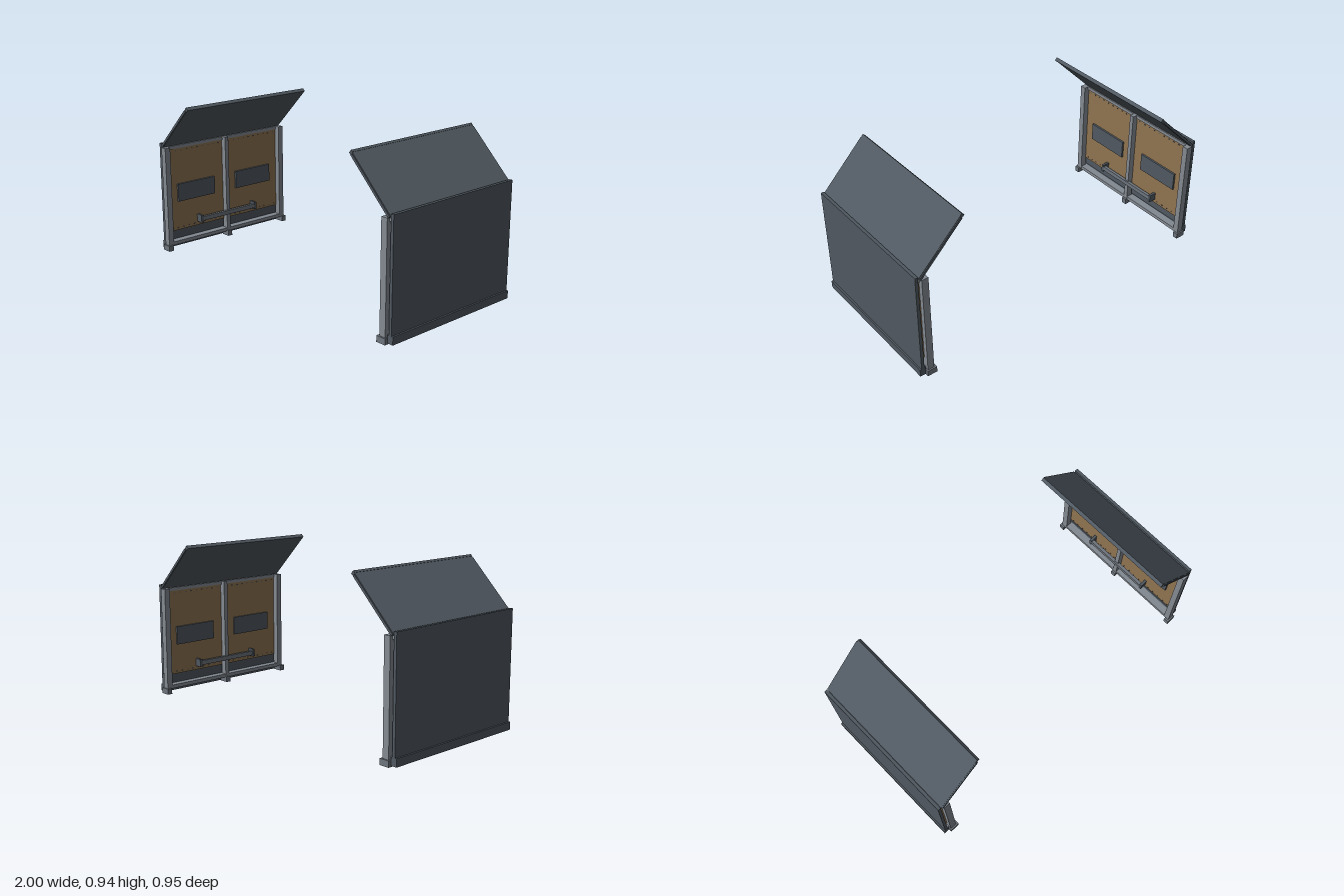
import * as THREE from 'three';

const mat = (name, color) => {
  const m = new THREE.MeshStandardMaterial({ color });
  m.name = name;
  return m;
};

export function createModel() {
  const slate = mat('slate panel', 0x4f5860);
  const steel = mat('steel frame', 0x828991);
  const footGrey = mat('foot grey', 0x6d747c);
  const wood = mat('wood lining', 0x8f7350);

  // Box given by its lower and upper limits on each axis
  const box = (parent, name, m, [x0, x1], [y0, y1], [z0, z1]) => {
    const mesh = new THREE.Mesh(new THREE.BoxGeometry(x1 - x0, y1 - y0, z1 - z0), m);
    mesh.position.set((x0 + x1) / 2, (y0 + y1) / 2, (z0 + z1) / 2);
    mesh.name = name;
    parent.add(mesh);
    return mesh;
  };

  // One wall, standing on the +x side
  const makeWall = (name) => {
    const wall = new THREE.Group();
    wall.name = name;

    // Outer skin and base rails
    box(wall, 'outerPanel', slate, [0.972, 0.99], [0.02, 0.68], [-0.457, 0.457]);
    box(wall, 'baseRail', slate, [0.963, 1.0], [0.005, 0.05], [-0.457, 0.457]);
    box(wall, 'innerSill', steel, [0.918, 0.963], [0.03, 0.052], [-0.45, 0.45]);
    box(wall, 'topRail', steel, [0.945, 0.972], [0.638, 0.658], [-0.45, 0.45]);

    // Posts and feet
    for (const z of [-0.449, 0, 0.449]) {
      const w = z === 0 ? 0.013 : 0.018;
      box(wall, 'post', steel, [0.917, 0.957], [0.035, 0.658], [z - w, z + w]);
      const c = Math.sign(z) * 0.46;
      box(wall, 'foot', footGrey, [0.905, 0.965], [0, 0.035], [c - 0.016, c + 0.016]);
    }

    // Lining, shutters and rivets, once per bay
    for (const s of [-1, 1]) {
      const span = (a, b) => (s > 0 ? [a, b] : [-b, -a]);
      box(wall, 'lining', wood, [0.953, 0.966], [0.11, 0.64], span(0.013, 0.44));
      box(wall, 'shutter', slate, [0.941, 0.954], [0.297, 0.41], span(0.085, 0.367));
      for (const y of [0.125, 0.622]) {
        for (let i = 0; i < 10; i++) {
          const z = s * (0.04 + i * 0.041);
          box(wall, 'rivet', slate, [0.951, 0.954], [y - 0.003, y + 0.003], [z - 0.004, z + 0.004]);
        }
      }
    }

    // Grab rail with end brackets
    box(wall, 'grabRail', footGrey, [0.908, 0.928], [0.145, 0.172], [-0.21, 0.21]);
    for (const z of [-0.215, 0.215]) {
      box(wall, 'railBracket', slate, [0.906, 0.954], [0.135, 0.183], [z - 0.008, z + 0.008]);
    }

    // Raised canopy, hinged at the wall top and leaning inwards
    const canopy = new THREE.Group();
    canopy.name = 'canopy';
    canopy.position.set(0.963, 0.661, 0);
    canopy.rotation.z = -Math.PI / 4;
    const length = 0.385;
    box(canopy, 'canopyPanel', slate, [-length, 0], [-0.009, 0.009], [-0.457, 0.457]);
    for (const s of [-1, 1]) {
      box(canopy, 'canopyEdge', slate, [-length + 0.015, 0], [-0.007, 0.007],
        s > 0 ? [0.457, 0.463] : [-0.463, -0.457]);
    }
    box(canopy, 'canopyLip', slate, [-length - 0.005, -length + 0.008], [-0.011, 0.011], [-0.457, 0.457]);
    wall.add(canopy);
    return wall;
  };

  const model = new THREE.Group();
  model.name = 'foldingWalls';
  const left = makeWall('leftWall');
  const right = makeWall('rightWall');
  right.rotation.y = Math.PI;
  model.add(left, right);
  return model;
}
